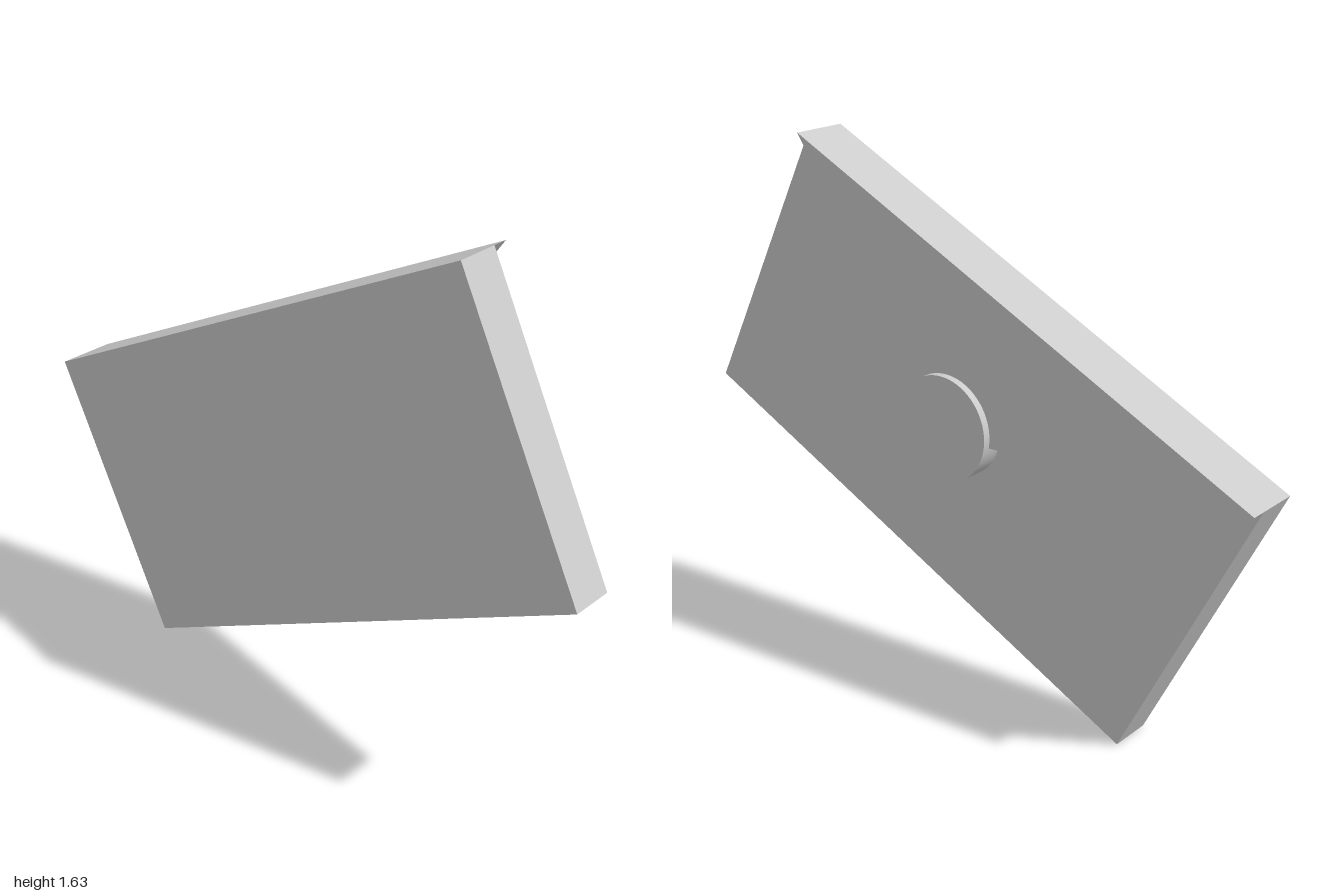
import * as THREE from 'three';

const WIDTH = 1.764, HEIGHT = 0.944, TILT = -0.461;

export function createModel() {
  const model = new THREE.Group();
  model.name = 'envelope';
  const material = new THREE.MeshStandardMaterial({ color: 0xcccccc });

  const add = (name, geometry, parent) => {
    const mesh = new THREE.Mesh(geometry, material);
    mesh.name = name;
    parent.add(mesh);
    return mesh;
  };

  // Envelope face is drawn in XY, then turned to look along +x
  const facing = new THREE.Group();
  facing.name = 'facing';
  facing.rotation.y = Math.PI / 2;
  facing.position.y = 0.8175;
  model.add(facing);

  const tilted = new THREE.Group();
  tilted.name = 'tiltedEnvelope';
  tilted.rotation.z = TILT;
  facing.add(tilted);

  // Body slab
  add('body', new THREE.BoxGeometry(WIDTH, HEIGHT, 0.135), tilted).position.z = -0.0375;

  // Triangular flap, from the long upper edge down to the middle
  const triangle = new THREE.Shape([
    new THREE.Vector2(-WIDTH / 2, HEIGHT / 2),
    new THREE.Vector2(0, 0),
    new THREE.Vector2(WIDTH / 2, HEIGHT / 2),
  ]);
  const flap = new THREE.ExtrudeGeometry(triangle, { depth: 0.048, bevelEnabled: false });
  add('flap', flap, tilted).position.z = 0.03;

  // Round seal over the flap tip
  const seal = new THREE.CylinderGeometry(0.16, 0.16, 0.072, 64).rotateX(Math.PI / 2);
  add('seal', seal, facing).position.set(-0.016, 0.0325, 0.066);

  return model;
}
